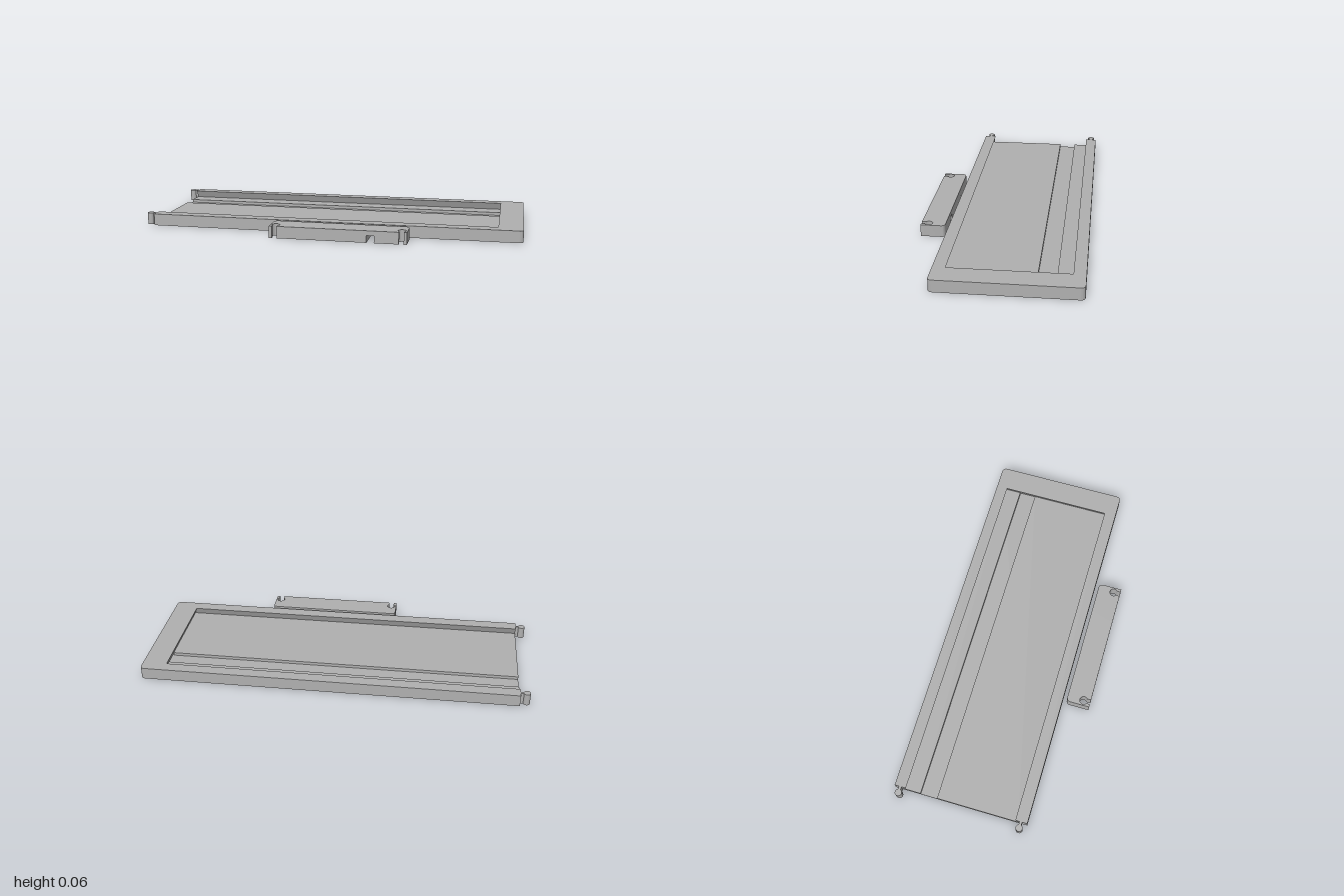
import * as THREE from 'three';
import { toCreasedNormals } from 'three/addons/utils/BufferGeometryUtils.js';

const H = 0.062;                                   // overall height
const LEFT = -0.95, RIGHT = 1, BACK = -0.43, FRONT = 0.28;
const IN_X = 0.874, IN_BACK = -0.37, IN_FRONT = 0.217;
const GROOVE_Y = 0.008, FLOOR_Y = 0.024;

export function createModel() {
  const group = new THREE.Group();
  const grey = new THREE.MeshStandardMaterial({ color: 0xb0b0b0 });
  grey.name = 'grey';

  const add = (name, geometry) => {
    const mesh = new THREE.Mesh(geometry, grey);
    mesh.name = name;
    group.add(mesh);
    return mesh;
  };
  // Raise a plan outline (shape y = -z) from y0 to y1
  const raise = (shape, y0, y1) => {
    const g = new THREE.ExtrudeGeometry(shape, { depth: y1 - y0, bevelEnabled: false, curveSegments: 10 });
    g.rotateX(-Math.PI / 2);
    g.translate(0, y0, 0);
    return g;
  };
  const box = (name, x0, x1, y0, y1, z0, z1) => {
    const mesh = add(name, new THREE.BoxGeometry(x1 - x0, y1 - y0, z1 - z0));
    mesh.position.set((x0 + x1) / 2, (y0 + y1) / 2, (z0 + z1) / 2);
  };
  // Tray outline with rounded corners at the closed end
  const trayOutline = () => {
    const r = 0.022, s = new THREE.Shape();
    s.moveTo(LEFT, -FRONT);
    s.lineTo(RIGHT - r, -FRONT);
    s.absarc(RIGHT - r, -FRONT + r, r, -Math.PI / 2, 0);
    s.lineTo(RIGHT, -BACK - r);
    s.absarc(RIGHT - r, -BACK - r, r, 0, Math.PI / 2);
    s.lineTo(LEFT, -BACK);
    return s;
  };

  // Tray base
  add('trayBase', toCreasedNormals(raise(trayOutline(), 0, GROOVE_Y), 0.6));

  // U-shaped rim, its inner walls undercut to hold a sliding panel
  const rim = trayOutline();
  rim.lineTo(LEFT, -IN_BACK);
  rim.lineTo(IN_X, -IN_BACK);
  rim.lineTo(IN_X, -IN_FRONT);
  rim.lineTo(LEFT, -IN_FRONT);
  const rimGeo = raise(rim, GROOVE_Y, H);
  const p = rimGeo.attributes.position, near = (a, b) => Math.abs(a - b) < 1e-4, cut = 0.022;
  for (let i = 0; i < p.count; i++) {
    if (p.getY(i) > H / 2) continue;
    const x = p.getX(i), z = p.getZ(i);
    const back = near(z, IN_BACK), front = near(z, IN_FRONT);
    if (back) p.setZ(i, z - cut);
    if (front) p.setZ(i, z + cut);
    if ((back || front) && near(x, IN_X)) p.setX(i, x + cut);
  }
  add('trayRim', toCreasedNormals(rimGeo, 0.6));

  // Raised floors on both sides of the long groove
  box('mainFloor', LEFT, IN_X + 0.015, GROOVE_Y, FLOOR_Y, -0.205, IN_FRONT + 0.015);
  box('backShelf', LEFT, IN_X + 0.015, GROOVE_Y, FLOOR_Y, IN_BACK - 0.015, -0.295);

  // Hinge pegs on short necks
  for (const z of [-0.4, 0.246]) {
    const peg = add('hingePeg', new THREE.CylinderGeometry(0.018, 0.018, H, 24));
    peg.position.set(-0.982, H / 2, z);
    box('pegNeck', -0.97, LEFT, 0, H, z - 0.007, z + 0.007);
  }

  // Separate clip: two ends with keyhole sockets, joined over a notch
  const mid = 0.083, z0 = 0.3, z1 = 0.425;
  const clipEnd = (side, inner) => {
    const r = 0.02, cx = -0.242, cz = 0.388, hr = 0.021, hw = 0.0125;
    const a = Math.acos(hw / hr), pts = [];
    const put = (x, z) => pts.push(new THREE.Vector2(side < 0 ? x : 2 * mid - x, -z));
    put(inner, z1);
    put(cx + hw, z1);
    // socket runs round from the slot's inner side to its outer side
    for (let i = 0; i <= 20; i++) {
      const t = a - (Math.PI + 2 * a) * i / 20;
      put(cx + hr * Math.cos(t), cz + hr * Math.sin(t));
    }
    put(cx - hw, z1);
    put(-0.27, z1);
    for (let i = 0; i <= 8; i++) {
      const t = Math.PI + Math.PI / 2 * i / 8;
      put(-0.27 + r + r * Math.cos(t), z0 + r + r * Math.sin(t));
    }
    put(inner, z0);
    return toCreasedNormals(raise(new THREE.Shape(pts), 0, H), 0.6);
  };
  add('clipRightEnd', clipEnd(-1, 0.233));
  add('clipLeftEnd', clipEnd(1, 2 * mid - 0.271));
  box('clipBridge', 0.233, 0.271, 0.037, H, z0, z1);

  return group;
}
